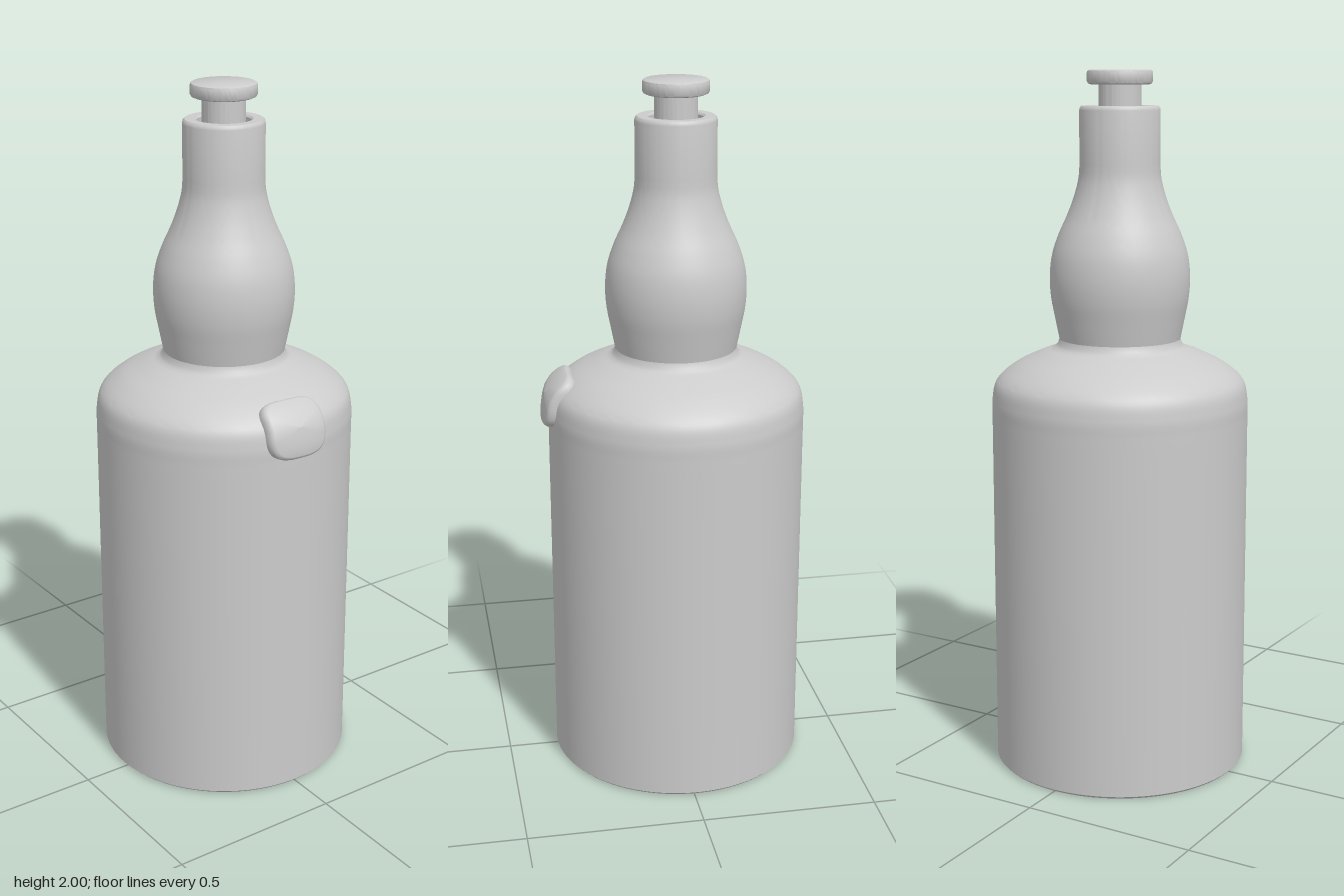
import * as THREE from 'three';
import { toCreasedNormals } from 'three/addons/utils/BufferGeometryUtils.js';

const material = new THREE.MeshStandardMaterial({ color: 0xcccccc, side: THREE.DoubleSide });
const toPoints = (list) => list.map(([x, y]) => new THREE.Vector2(x, y));
const smooth = (list, n) => new THREE.SplineCurve(toPoints(list)).getPoints(n);

function addMesh(group, name, geometry) {
  const mesh = new THREE.Mesh(geometry, material);
  mesh.name = name;
  group.add(mesh);
}

function lathe(points, crease = 0.6) {
  return toCreasedNormals(new THREE.LatheGeometry(points, 96), crease);
}

// Shoulder profile, shared by the bottle and the badge that hugs it
const shoulder = new THREE.SplineCurve(toPoints([
  [0.367, 0.98], [0.367, 1.03], [0.366, 1.08], [0.352, 1.132], [0.3, 1.176], [0.235, 1.207], [0.195, 1.222],
]));

// Rounded badge: rings of a superellipse, wrapped on the shoulder and pushed outwards
function badgeGeometry() {
  const rings = [[1.03, -0.012], [1.02, 0.004], [1, 0.013], [0.95, 0.019], [0.87, 0.022], [0.6, 0.022], [0.3, 0.022], [0, 0.022]];
  const sides = 64, positions = [], index = [];
  const pow = (c) => Math.sign(c) * Math.abs(c) ** 0.58;
  // Arc positions on the shoulder curve for the badge's lower and upper edge
  const arcAt = (y) => {
    let u = 0;
    while (u < 1 && shoulder.getPointAt(u).y < y) u += 0.002;
    return u;
  };
  const low = arcAt(1.04), high = arcAt(1.176);
  for (const [scale, lift] of rings) {
    for (let i = 0; i < sides; i++) {
      const a = (i / sides) * Math.PI * 2;
      const x = 0.092 * scale * pow(Math.cos(a));
      const u = (low + high) / 2 + ((high - low) / 2) * scale * pow(Math.sin(a));
      const p = shoulder.getPointAt(u), t = shoulder.getTangentAt(u);
      const r = p.x + t.y * lift;
      const cx = x - 0.012;
      positions.push(cx, p.y - t.x * lift, Math.sqrt(r * r - cx * cx));
    }
  }
  for (let j = 0; j < rings.length - 1; j++) {
    for (let i = 0; i < sides; i++) {
      const k = (i + 1) % sides;
      const a = j * sides + i, b = j * sides + k, c = a + sides, d = b + sides;
      index.push(a, b, c, b, d, c);
    }
  }
  const geometry = new THREE.BufferGeometry();
  geometry.setAttribute('position', new THREE.Float32BufferAttribute(positions, 3));
  geometry.setIndex(index);
  geometry.computeVertexNormals();
  return geometry;
}

export function createModel() {
  const group = new THREE.Group();
  group.name = 'bottle';
  const bottle = new THREE.Group();
  bottle.name = 'bottleParts';
  bottle.position.z = -0.012;
  group.add(bottle);

  // Base with a hollow dimple underneath
  addMesh(bottle, 'base', lathe([
    ...smooth([[0, 0.06], [0.06, 0.056], [0.12, 0.038], [0.18, 0.012], [0.23, 0.002]], 20),
    ...toPoints([[0.24, 0], [0.36, 0], [0.367, 0.007]]),
  ]));

  // Straight body and rounded shoulder
  addMesh(bottle, 'body', lathe([
    new THREE.Vector2(0.367, 0.007),
    ...shoulder.getPoints(36),
    ...toPoints([[0.184, 1.228], [0.177, 1.236], [0.173, 1.25]]),
  ]));

  // Bulging neck, straight upper neck, rounded lip and inner bore
  addMesh(bottle, 'neck', lathe([
    ...smooth([[0.173, 1.25], [0.185, 1.31], [0.196, 1.37], [0.199, 1.43], [0.192, 1.49], [0.174, 1.545],
      [0.149, 1.6], [0.13, 1.65], [0.117, 1.7], [0.1135, 1.74]], 44),
    ...toPoints([[0.1135, 1.89], [0.112, 1.897], [0.107, 1.902], [0.08, 1.902], [0.075, 1.897], [0.074, 1.84], [0, 1.84]]),
  ]));

  // Stopper: stem and flat cap
  addMesh(bottle, 'stopperStem', lathe(toPoints([[0, 1.84], [0.06, 1.84], [0.06, 1.965]])));
  addMesh(bottle, 'stopperCap', lathe(toPoints([
    [0, 1.96], [0.082, 1.96], [0.089, 1.963], [0.092, 1.969], [0.092, 1.992], [0.09, 1.997], [0.085, 2], [0, 2],
  ])));

  // Raised badge on the front of the shoulder
  addMesh(bottle, 'shoulderBadge', badgeGeometry());
  return group;
}
